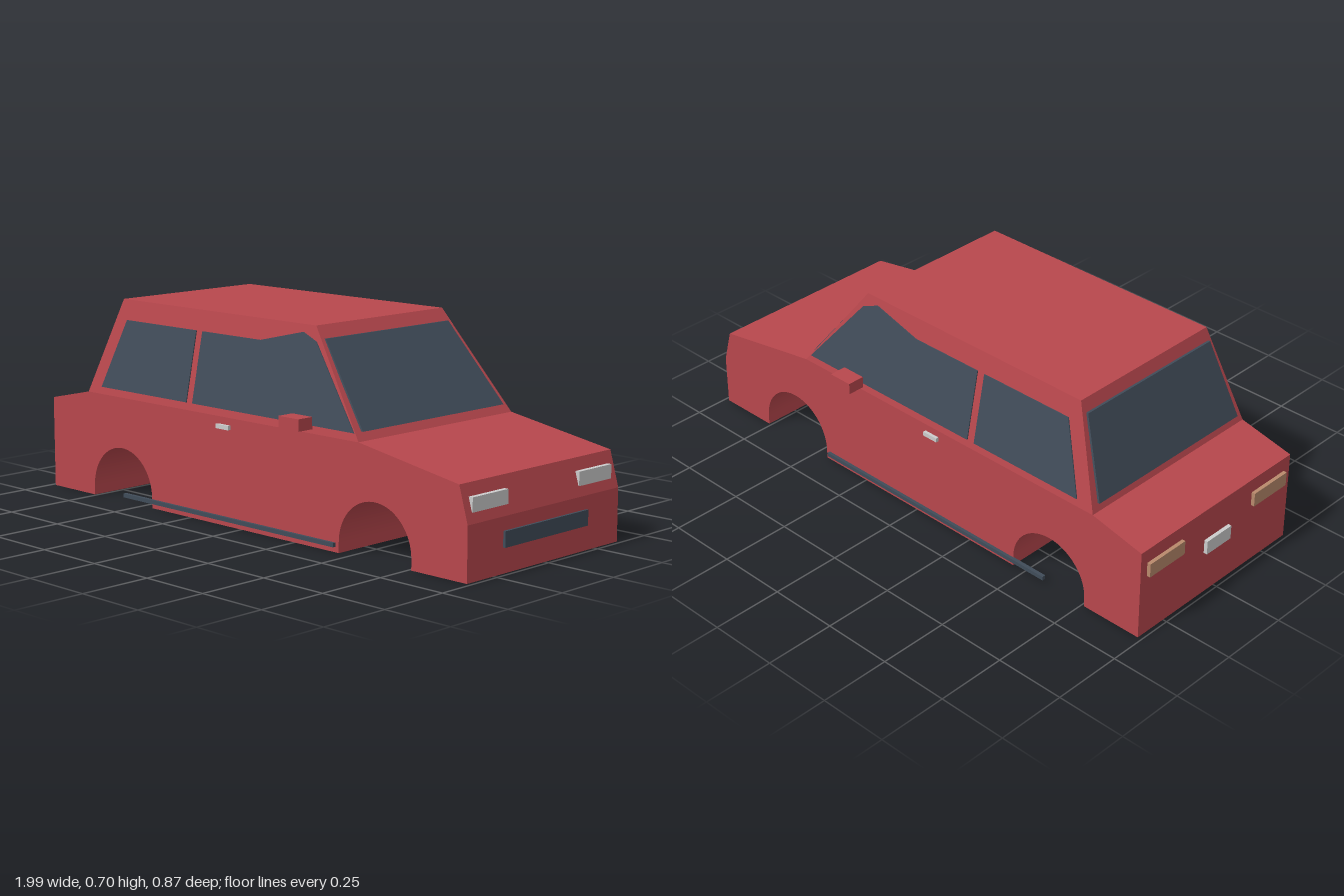
import * as THREE from 'three';

const paint = (name, color) => {
  const m = new THREE.MeshStandardMaterial({ color });
  m.name = name;
  return m;
};
const lerpAt = (y, y0, a, y1, b) => a + ((b - a) * (y - y0)) / (y1 - y0);

export function createModel() {
  const car = new THREE.Group();
  car.name = 'car';
  const red = paint('bodyRed', 0xb8474d);
  const glass = paint('darkGlass', 0x404c59);
  const silver = paint('silver', 0xcccccc);
  const amber = paint('tailAmber', 0xb98a6c);

  const add = (name, geometry, material) => {
    const mesh = new THREE.Mesh(geometry, material);
    mesh.name = name;
    car.add(mesh);
    return mesh;
  };
  // Box given by its limits on each axis
  const box = (name, material, [x0, x1], [y0, y1], [z0, z1]) =>
    add(name, new THREE.BoxGeometry(x1 - x0, y1 - y0, z1 - z0), material)
      .position.set((x0 + x1) / 2, (y0 + y1) / 2, (z0 + z1) / 2);
  // Moves every vertex by a rule and refreshes the flat normals
  const bend = (geometry, rule) => {
    const p = geometry.attributes.position;
    for (let i = 0; i < p.count; i++) p.setXYZ(i, ...rule(p.getX(i), p.getY(i), p.getZ(i)));
    geometry.computeVertexNormals();
    return geometry;
  };
  const outline = (points) => new THREE.Shape(points.map(([x, y]) => new THREE.Vector2(x, y)));

  // Lower body: side profile with two wheel arches, extruded across the width
  const W = 0.372;
  const R = 0.155;
  const side = new THREE.Shape();
  side.moveTo(-0.985, 0);
  for (const cx of [-0.605, 0.605]) {
    side.lineTo(cx - R, 0);
    side.lineTo(cx - R, 0.035);
    side.absarc(cx, 0.035, R, Math.PI, 0, true);
    side.lineTo(cx + R, 0);
  }
  for (const [x, y] of [[0.985, 0], [0.985, 0.18], [0.95, 0.3], [0.535, 0.37], [-0.785, 0.37], [-0.985, 0.325]])
    side.lineTo(x, y);
  const bodyGeo = new THREE.ExtrudeGeometry(side, { depth: 2 * W, bevelEnabled: false, curveSegments: 20 });
  add('lowerBody', bodyGeo.translate(0, 0, -W), red);

  // Cabin: a box narrowed towards the roof
  const halfWidth = (y) => lerpAt(y, 0.37, W, 0.705, 0.303);
  add('cabin', bend(new THREE.BoxGeometry(2, 2, 2), (x, y, z) => {
    const top = y > 0;
    const px = x > 0 ? (top ? 0.282 : 0.535) : (top ? -0.665 : -0.785);
    const py = top ? 0.705 : 0.37;
    return [px, py, z * halfWidth(py)];
  }), red);

  // Glass plates leaning with the cabin walls
  const T = 0.008;
  const plate = (points) =>
    new THREE.ExtrudeGeometry(outline(points), { depth: T, bevelEnabled: false });
  const sideWindows = {
    rearSideWindow: [[-0.715, 0.395], [-0.27, 0.395], [-0.27, 0.635], [-0.63, 0.635]],
    frontSideWindow: [[-0.24, 0.395], [0.512, 0.395], [0.295, 0.655], [0.23, 0.68], [0.04, 0.635], [-0.24, 0.635]],
  };
  for (const s of [1, -1])
    for (const [name, points] of Object.entries(sideWindows))
      add(name, bend(plate(points), (x, y, d) => [x, y, s * (halfWidth(y) - 0.0005) + d - T / 2]), glass);

  const screen = [[-0.342, 0.398], [0.342, 0.398], [0.296, 0.665], [-0.296, 0.665]];
  add('windscreen', bend(plate(screen),
    (a, y, d) => [lerpAt(y, 0.398, 0.518, 0.665, 0.309) + d, y, -a]), glass);
  add('rearWindow', bend(plate(screen),
    (a, y, d) => [lerpAt(y, 0.398, -0.778, 0.665, -0.681) - T + d, y, -a]), glass);

  // Nose and tail details
  box('grille', glass, [0.975, 0.994], [0.083, 0.135], [-0.205, 0.205]);
  box('numberPlate', silver, [-0.998, -0.975], [0.16, 0.21], [-0.06, 0.06]);

  // Parts repeated on both sides
  for (const s of [1, -1]) {
    const across = (a, b) => (s > 0 ? [a, b] : [-b, -a]);
    box('headlight', silver, [0.955, 0.978], [0.213, 0.26], across(0.175, 0.342));
    box('tailLight', amber, [-0.998, -0.975], [0.225, 0.275], across(0.175, 0.342));
    box('mirror', red, [0.245, 0.335], [0.385, 0.425], across(0.375, 0.437));
    box('doorHandle', silver, [-0.11, -0.05], [0.33, 0.345], across(0.365, 0.383));
    box('sillTrim', glass, [-0.59, 0.435], [0.018, 0.032], across(0.37, 0.383));
  }
  return car;
}
